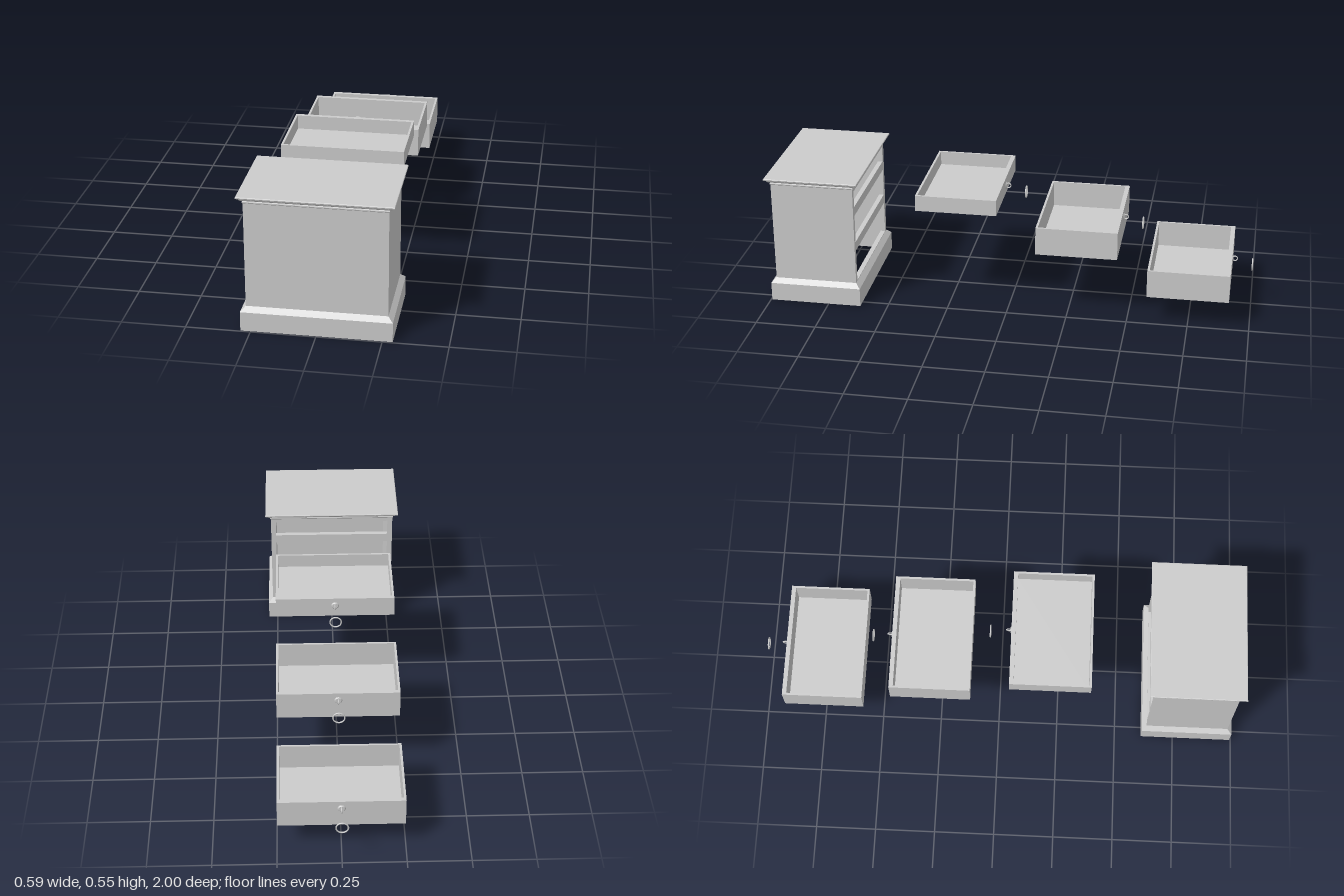
import * as THREE from 'three';

const material = new THREE.MeshStandardMaterial({ color: 0xcccccc });

function add(parent, name, geometry, x = 0, y = 0, z = 0) {
  const mesh = new THREE.Mesh(geometry, material);
  mesh.name = name;
  mesh.position.set(x, y, z);
  parent.add(mesh);
  return mesh;
}

// Box given by its minimum and maximum corners
function addBox(parent, name, [x0, y0, z0], [x1, y1, z1]) {
  return add(parent, name, new THREE.BoxGeometry(x1 - x0, y1 - y0, z1 - z0),
    (x0 + x1) / 2, (y0 + y1) / 2, (z0 + z1) / 2);
}

// Moulding: sweeps a profile of [offset, y] around a rectangle with mitred corners
function moulding(hx, hz, profile) {
  const corners = [[1, 1], [1, -1], [-1, -1], [-1, 1]];
  const point = (c, [o, y]) => [corners[c][0] * (hx + o), y, corners[c][1] * (hz + o)];
  const positions = [];
  for (let i = 0; i < profile.length - 1; i++) {
    for (let c = 0; c < 4; c++) {
      const d = (c + 1) % 4;
      const a = point(c, profile[i]), b = point(d, profile[i]);
      const e = point(d, profile[i + 1]), f = point(c, profile[i + 1]);
      positions.push(...a, ...b, ...e, ...a, ...e, ...f);
    }
  }
  const geometry = new THREE.BufferGeometry();
  geometry.setAttribute('position', new THREE.Float32BufferAttribute(positions, 3));
  geometry.computeVertexNormals();
  return geometry;
}

// Quarter or half round points for a profile
function arc(cx, cy, rx, ry, from, to, steps = 6) {
  return Array.from({ length: steps + 1 }, (_, i) => {
    const t = from + (to - from) * i / steps;
    return [cx + rx * Math.cos(t), cy + ry * Math.sin(t)];
  });
}

function createCabinet() {
  const cabinet = new THREE.Group();
  cabinet.name = 'cabinet';
  cabinet.position.z = 0.804;
  const hx = 0.27, hz = 0.172, bottom = 0.08, top = 0.522;

  // Carcass, open underneath
  for (const s of [-1, 1]) {
    add(cabinet, 'sidePanel', new THREE.BoxGeometry(0.02, top - bottom, hz * 2 - 0.02),
      s * (hx - 0.01), (top + bottom) / 2, 0.01);
  }
  addBox(cabinet, 'backPanel', [-0.25, bottom, hz - 0.015], [0.25, top, hz]);

  // Face frame with three drawer openings
  const frame = new THREE.Shape([[-hx, bottom], [hx, bottom], [hx, top], [-hx, top]]
    .map(p => new THREE.Vector2(...p)));
  for (const [y0, y1] of [[0.1, 0.238], [0.277, 0.396], [0.435, 0.504]]) {
    frame.holes.push(new THREE.Path([[-0.248, y0], [-0.248, y1], [0.248, y1], [0.248, y0]]
      .map(p => new THREE.Vector2(...p))));
  }
  add(cabinet, 'faceFrame', new THREE.ExtrudeGeometry(frame, { depth: 0.02, bevelEnabled: false }), 0, 0, -hz);

  // Hollow plinth with a sloping top
  add(cabinet, 'plinth', moulding(hx, hz, [
    [-0.02, 0.08], [0.015, 0.08], [0.015, 0], [0.019, 0], [0.019, 0.078], [0, 0.097],
  ]));

  // Moulded cornice and top board
  add(cabinet, 'cornice', moulding(hx, hz, [
    [-hz, 0.52],
    ...arc(0, 0.525, 0.003, 0.005, -Math.PI / 2, Math.PI / 2),
    ...arc(0.003, 0.545, 0.011, 0.013, -Math.PI / 2, 0),
    [0.014, 0.545],
    [0.021, 0.545],
    ...arc(0.021, 0.549, 0.003, 0.004, -Math.PI / 2, Math.PI / 2),
    [-hz, 0.553],
  ]));
  return cabinet;
}

function createDrawer(y0, y1, z0) {
  const drawer = new THREE.Group();
  drawer.name = 'drawer';
  const hx = 0.247, z1 = z0 + 0.335, t = 0.009, front = z0 + 0.018;
  addBox(drawer, 'drawerFront', [-hx, y0, z0], [hx, y1, front]);
  addBox(drawer, 'drawerBack', [-hx, y0, z1 - t], [hx, y1, z1]);
  addBox(drawer, 'drawerLeft', [hx - t, y0, front], [hx, y1, z1 - t]);
  addBox(drawer, 'drawerRight', [-hx, y0, front], [t - hx, y1, z1 - t]);
  addBox(drawer, 'drawerFloor', [t - hx, y0, front], [hx - t, y0 + t, z1 - t]);
  return drawer;
}

// Round plate and eye on the drawer front, with the pull ring set apart
function createPull(eyeY, face, ringY, ringZ) {
  const pull = new THREE.Group();
  pull.name = 'pull';
  add(pull, 'pullPlate', new THREE.CylinderGeometry(0.012, 0.016, 0.004, 24), 0, eyeY, face - 0.002)
    .rotation.x = -Math.PI / 2;
  add(pull, 'pullEye', new THREE.TorusGeometry(0.01, 0.0025, 10, 28), 0, eyeY, face - 0.01)
    .rotation.y = Math.PI / 2;
  add(pull, 'pullRing', new THREE.TorusGeometry(0.0235, 0.003, 10, 40), 0, ringY, ringZ);
  return pull;
}

export function createModel() {
  const model = new THREE.Group();
  model.name = 'explodedChestOfDrawers';
  model.add(createCabinet());

  // Drawers drawn out toward -z, each with its pull
  const drawers = [
    { y: [0.436, 0.503], z: 0.041, eye: 0.468, ring: [0.445, -0.045] },
    { y: [0.277, 0.395], z: -0.455, eye: 0.361, ring: [0.338, -0.537] },
    { y: [0.12, 0.238], z: -0.914, eye: 0.204, ring: [0.181, -0.997] },
  ];
  for (const d of drawers) {
    model.add(createDrawer(...d.y, d.z), createPull(d.eye, d.z, ...d.ring));
  }
  return model;
}
